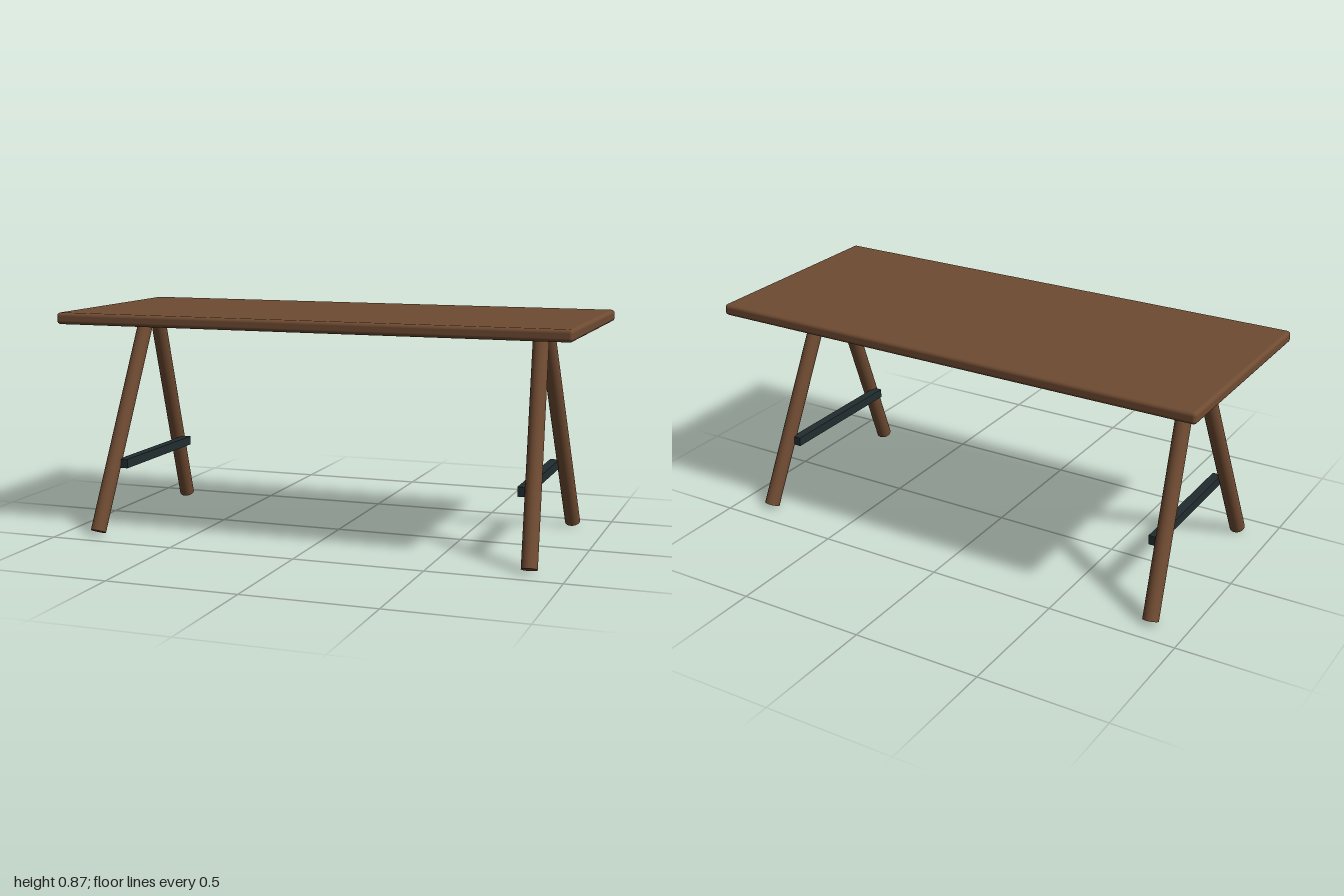
import * as THREE from 'three';
import { RoundedBoxGeometry } from 'three/addons/geometries/RoundedBoxGeometry.js';

const wood = new THREE.MeshStandardMaterial({ color: 0x6f4b32 });
wood.name = 'brown wood';
const metal = new THREE.MeshStandardMaterial({ color: 0x222d30 });
metal.name = 'dark metal';

// Round bar with flat ends running between two points
function rod(name, from, to, radius, material) {
  const axis = to.clone().sub(from);
  const mesh = new THREE.Mesh(new THREE.CylinderGeometry(radius, radius, axis.length(), 32), material);
  mesh.name = name;
  mesh.position.copy(from).add(to).multiplyScalar(0.5);
  mesh.quaternion.setFromUnitVectors(new THREE.Vector3(0, 1, 0), axis.normalize());
  return mesh;
}

export function createModel() {
  const table = new THREE.Group();
  table.name = 'trestleTable';

  // Slab with softened edges
  const top = new THREE.Mesh(new RoundedBoxGeometry(2, 0.045, 0.868, 4, 0.014), wood);
  top.name = 'tableTop';
  top.position.y = 0.8475;
  table.add(top);

  // A-shaped trestle at each end, splayed outwards
  for (const sx of [1, -1]) {
    const trestle = new THREE.Group();
    trestle.name = sx > 0 ? 'leftTrestle' : 'rightTrestle';
    for (const sz of [1, -1]) {
      trestle.add(rod(
        sz > 0 ? 'frontLeg' : 'backLeg',
        new THREE.Vector3(sx * 0.859, 0.0122, sz * 0.4),
        new THREE.Vector3(sx * 0.809, 0.823, sz * 0.0475),
        0.03, wood));
    }
    // Crossbar on the inner side of the legs
    const bar = new THREE.Mesh(new THREE.BoxGeometry(0.036, 0.036, 0.575), metal);
    bar.name = 'crossbar';
    bar.position.set(sx * 0.803, 0.266, 0);
    trestle.add(bar);
    table.add(trestle);
  }
  return table;
}
